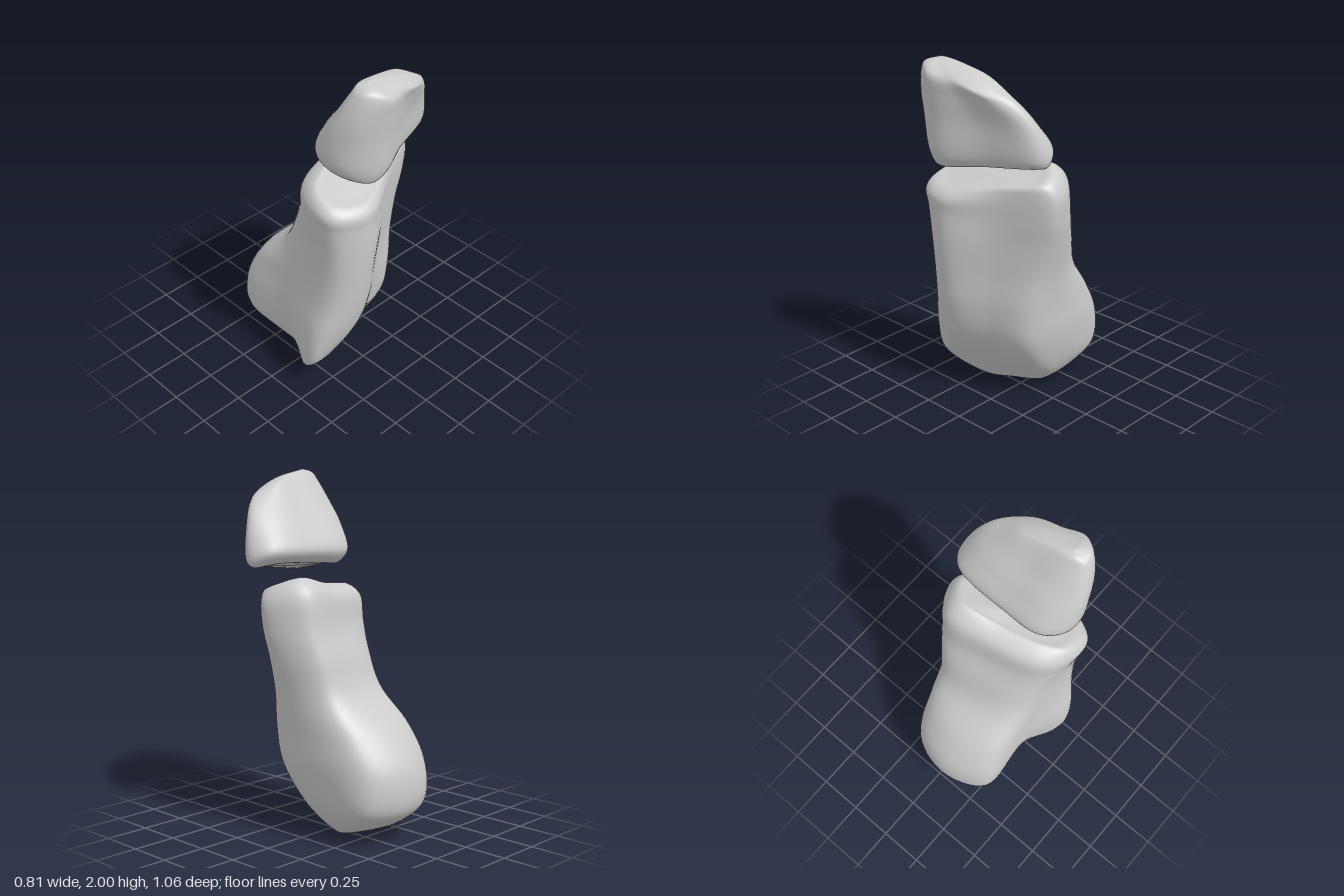
import * as THREE from 'three';
import { mergeVertices } from 'three/addons/utils/BufferGeometryUtils.js';

const COLUMNS = 72;
const STEPS = 7; // rows between neighbouring sections

// Section of 8 corners: front ridge, right front, right, back right, back, back left, left, left front.
// Heights are one number, or one per corner for a tilted rim.
function section(heights, xz) {
  const pts = xz.map(([x, z], i) => new THREE.Vector3(x, Array.isArray(heights) ? heights[i] : heights, z));
  pts.splice(1, 0, pts[0].clone().lerp(pts[1], 0.5)); // keeps the slanting front face flat
  return pts;
}

// A section shrunk towards a pole, for a flat end with a rounded rim
const shrink = (ring, pole, t) => ring.map((p) => p.clone().lerp(pole, t));

// Smooth closed skin through sections listed bottom to top, closed by a pole at each end
function loft(rings, bottom, top) {
  const dense = rings.map((r) => {
    const curve = new THREE.CatmullRomCurve3(r, true, 'centripetal');
    return Array.from({ length: COLUMNS }, (_, j) => curve.getPoint(j / COLUMNS));
  });
  const rows = (rings.length + 1) * STEPS;
  const pos = [];
  const index = [];
  for (let j = 0; j < COLUMNS; j++) {
    const path = new THREE.CatmullRomCurve3([bottom, ...dense.map((r) => r[j]), top], false, 'centripetal');
    for (let i = 0; i <= rows; i++) pos.push(...path.getPoint(i / rows).toArray());
  }
  const id = (i, j) => (j % COLUMNS) * (rows + 1) + i;
  for (let j = 0; j < COLUMNS; j++) {
    for (let i = 0; i < rows; i++) {
      const a = id(i, j), b = id(i, j + 1), c = id(i + 1, j + 1), d = id(i + 1, j);
      if (i > 0) index.push(a, b, d);
      if (i < rows - 1) index.push(b, c, d);
    }
  }
  let geo = new THREE.BufferGeometry();
  geo.setAttribute('position', new THREE.Float32BufferAttribute(pos, 3));
  geo.setIndex(index);
  geo = mergeVertices(geo, 1e-5);
  geo.computeVertexNormals();
  return geo;
}

function lowerBlock() {
  // Rounded foot: undercut facet in front, bulge at the back, hollow on the left
  const foot = [
    section(0.006, [[-0.17, 0.04], [0.02, -0.07], [0.05, -0.1], [0.02, -0.14], [-0.06, -0.14], [-0.14, -0.1], [-0.18, -0.03], [-0.21, 0.03]]),
    section(0.03, [[-0.21, 0.09], [0.08, -0.08], [0.1, -0.13], [0.08, -0.2], [-0.05, -0.23], [-0.18, -0.18], [-0.22, -0.03], [-0.28, 0.07]]),
    section(0.1, [[-0.25, 0.17], [0.14, -0.03], [0.17, -0.13], [0.14, -0.33], [-0.05, -0.41], [-0.24, -0.33], [-0.27, -0.05], [-0.365, 0.15]]),
    section(0.2, [[-0.27, 0.25], [0.18, 0.06], [0.22, -0.1], [0.19, -0.42], [-0.05, -0.515], [-0.3, -0.41], [-0.3, -0.06], [-0.4, 0.23]]),
    section(0.4, [[-0.21, 0.345], [0.22, 0.18], [0.27, -0.07], [0.2, -0.42], [-0.05, -0.515], [-0.315, -0.4], [-0.32, -0.07], [-0.385, 0.28]]),
    section(0.6, [[-0.18, 0.4], [0.25, 0.19], [0.285, -0.01], [0.21, -0.32], [-0.03, -0.4], [-0.28, -0.32], [-0.32, -0.01], [-0.34, 0.32]]),
  ];
  // Slimmer shaft, widening upwards
  const shaft = [
    section(0.8, [[-0.17, 0.425], [0.28, 0.17], [0.31, 0.03], [0.22, -0.19], [0, -0.21], [-0.26, -0.12], [-0.325, 0.09], [-0.32, 0.35]]),
    section(1.0, [[-0.16, 0.44], [0.33, 0.16], [0.355, 0.06], [0.24, -0.14], [0, -0.13], [-0.27, -0.02], [-0.335, 0.14], [-0.33, 0.36]]),
    section(1.15, [[-0.17, 0.44], [0.365, 0.17], [0.385, 0.09], [0.26, -0.1], [0, -0.07], [-0.28, 0.03], [-0.36, 0.17], [-0.35, 0.36]]),
  ];
  // Tilted rim and top face
  const rim = section([1.27, 1.36, 1.39, 1.43, 1.385, 1.36, 1.335, 1.29],
    [[-0.17, 0.41], [0.325, 0.2], [0.33, 0.12], [0.23, 0.02], [0, 0.06], [-0.24, 0.13], [-0.33, 0.2], [-0.33, 0.34]]);
  const edge = section([1.23, 1.3, 1.31, 1.36, 1.33, 1.3, 1.27, 1.24],
    [[-0.17, 0.44], [0.37, 0.18], [0.385, 0.1], [0.26, -0.06], [0, -0.03], [-0.28, 0.06], [-0.37, 0.18], [-0.365, 0.36]]);
  const top = new THREE.Vector3(0, 1.355, 0.2);
  return loft([...foot, ...shaft, edge, rim, shrink(rim, top, 0.25)], new THREE.Vector3(-0.09, 0, -0.05), top);
}

function upperBlock() {
  const bottom = new THREE.Vector3(0, 1.465, 0.29);
  // Tilted underside
  const under = section([1.43, 1.485, 1.485, 1.505, 1.495, 1.48, 1.47, 1.45],
    [[-0.16, 0.45], [0.36, 0.27], [0.385, 0.22], [0.3, 0.15], [0, 0.14], [-0.18, 0.15], [-0.27, 0.24], [-0.25, 0.38]]);
  const edge = section([1.49, 1.52, 1.53, 1.56, 1.56, 1.55, 1.54, 1.52],
    [[-0.15, 0.485], [0.375, 0.29], [0.405, 0.22], [0.33, 0.12], [0, 0.09], [-0.22, 0.11], [-0.32, 0.22], [-0.3, 0.38]]);
  // Back face leans forward, right side curves in to the peak
  const body = [
    section(1.7, [[-0.14, 0.505], [0.33, 0.335], [0.36, 0.27], [0.26, 0.18], [0, 0.165], [-0.22, 0.18], [-0.325, 0.27], [-0.295, 0.42]]),
    section(1.82, [[-0.14, 0.52], [0.235, 0.405], [0.285, 0.33], [0.19, 0.26], [0, 0.25], [-0.2, 0.26], [-0.305, 0.33], [-0.28, 0.45]]),
    section([1.93, 1.89, 1.89, 1.92, 1.935, 1.94, 1.93, 1.93],
      [[-0.15, 0.53], [0.11, 0.465], [0.18, 0.39], [0.12, 0.33], [-0.03, 0.325], [-0.19, 0.335], [-0.268, 0.38], [-0.258, 0.46]]),
    section([1.975, 1.955, 1.955, 1.965, 1.98, 1.985, 1.975, 1.975],
      [[-0.18, 0.49], [-0.03, 0.455], [0.03, 0.41], [0, 0.37], [-0.1, 0.36], [-0.2, 0.37], [-0.242, 0.4], [-0.236, 0.46]]),
  ];
  return loft([shrink(under, bottom, 0.25), under, edge, ...body], bottom, new THREE.Vector3(-0.17, 2, 0.41));
}

export function createModel() {
  const group = new THREE.Group();
  group.name = 'splitStone';
  const material = new THREE.MeshStandardMaterial({ color: 0xcccccc });
  for (const [name, geometry] of [['lowerBlock', lowerBlock()], ['upperBlock', upperBlock()]]) {
    const mesh = new THREE.Mesh(geometry, material);
    mesh.name = name;
    group.add(mesh);
  }
  return group;
}
